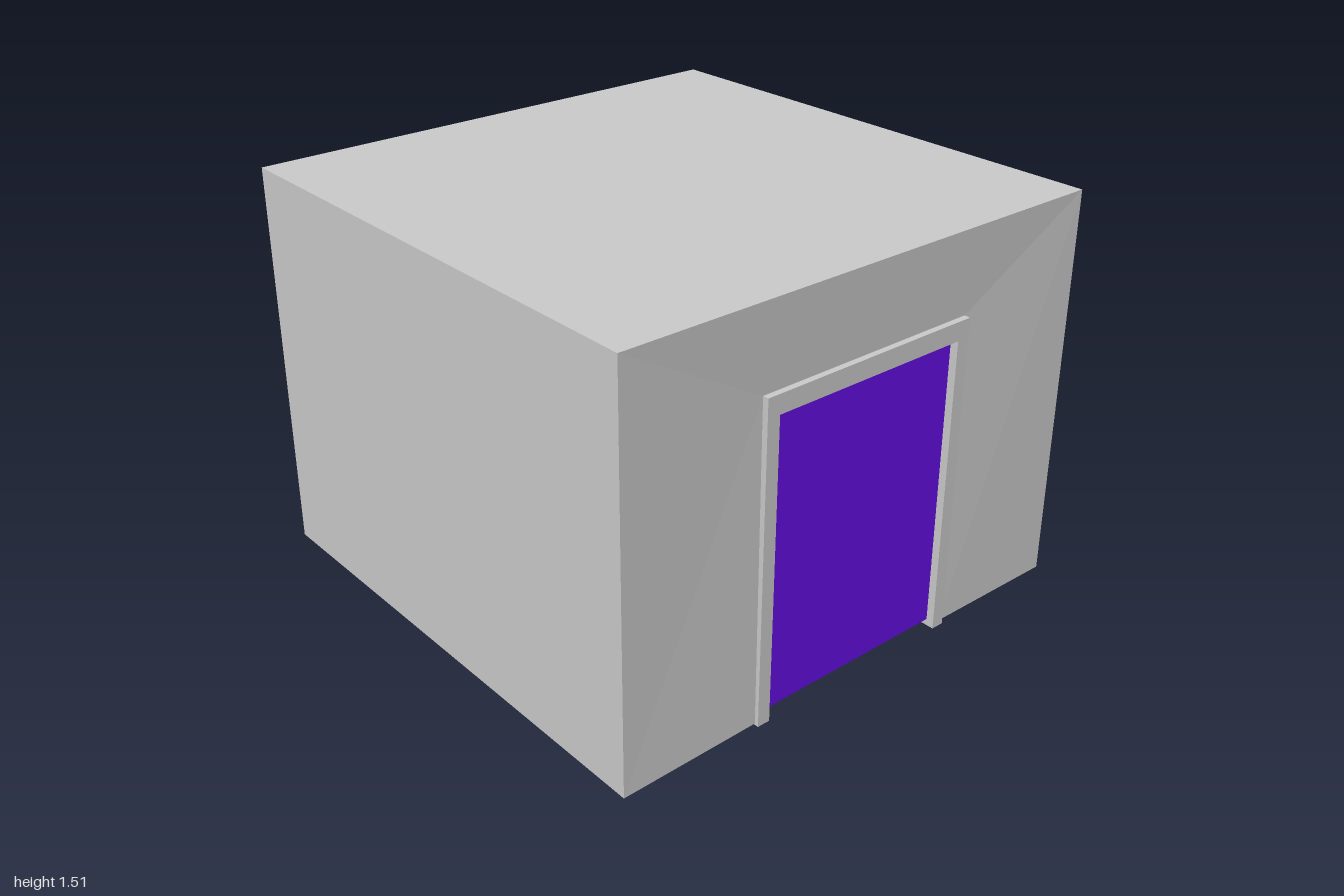
import * as THREE from 'three';

const grey = new THREE.MeshStandardMaterial({ color: 0xcccccc, flatShading: true });
const paint = (color, side = THREE.FrontSide) => {
  const m = new THREE.MeshStandardMaterial({ color, side, flatShading: true });
  return m;
};

function add(parent, name, geometry, material) {
  const mesh = new THREE.Mesh(geometry, material);
  mesh.name = name;
  parent.add(mesh);
  return mesh;
}

// Box given by its lower and upper corners
function block(parent, name, [x0, y0, z0], [x1, y1, z1], material) {
  const mesh = add(parent, name, new THREE.BoxGeometry(x1 - x0, y1 - y0, z1 - z0), material);
  mesh.position.set((x0 + x1) / 2, (y0 + y1) / 2, (z0 + z1) / 2);
  return mesh;
}

// Four-cornered panels, corners counter-clockwise from the visible side
function panels(list) {
  const pos = [];
  for (const [a, b, c, d] of list) pos.push(...a, ...b, ...c, ...a, ...c, ...d);
  const g = new THREE.BufferGeometry();
  g.setAttribute('position', new THREE.Float32BufferAttribute(pos, 3));
  g.computeVertexNormals();
  return g;
}

export function createModel() {
  const model = new THREE.Group();
  model.name = 'room';
  const bottom = 0.01, top = 1.51, front = 0.99;
  const inner = 0.97, innerBottom = 0.03, innerTop = 1.48;
  const door = 0.45, doorTop = 1.2;

  // Outer roof, side walls and back wall
  const A = [-1, bottom, front], B = [1, bottom, front], C = [1, bottom, -1], D = [-1, bottom, -1];
  const up = ([x, , z]) => [x, top, z];
  add(model, 'roof', panels([[up(A), up(B), up(C), up(D)]]), grey);
  add(model, 'outerWalls', panels([
    [B, C, up(C), up(B)], [C, D, up(D), up(C)], [D, A, up(A), up(D)],
  ]), grey);

  // Front wall around the doorway, its upper panel leaning in slightly
  const l0 = [-door, bottom, 0.985], l1 = [-door, doorTop, 0.977];
  const r0 = [door, bottom, 0.985], r1 = [door, doorTop, 0.977];
  add(model, 'frontWall', panels([
    [A, l0, l1, up(A)], [r0, B, up(B), r1], [l1, r1, up(B), up(A)],
  ]), grey);

  // Bevelled lower rim joining the outer and inner walls, open at the doorway
  const lift = ([x, , z]) => [
    Math.abs(x) === 1 ? x * inner : x, innerBottom, z > 0 ? inner : -inner,
  ];
  const rim = [[B, C], [C, D], [D, A], [A, l0], [r0, B]]
    .map(([p, q]) => [q, p, lift(p), lift(q)]);
  add(model, 'lowerRim', panels(rim), grey);

  // Coloured inner lining, open underneath
  const lining = new THREE.BoxGeometry(2 * inner, innerTop - innerBottom, 2 * inner);
  const index = Array.from(lining.index.array);
  index.splice(18, 6);
  lining.setIndex(index);
  lining.clearGroups();
  add(model, 'innerLining', lining, paint(0x650ee6, THREE.DoubleSide))
    .position.y = (innerTop + innerBottom) / 2;

  // Door frame: one extruded arch
  const arch = new THREE.Shape([
    [-door, 0.005], [-0.4, 0.005], [-0.4, 1.13], [0.4, 1.13],
    [0.4, 0.005], [door, 0.005], [door, doorTop], [-door, doorTop],
  ].map(([x, y]) => new THREE.Vector2(x, y)));
  const frame = new THREE.ExtrudeGeometry(arch, { depth: 0.055, bevelEnabled: false });
  add(model, 'doorFrame', frame, grey).position.z = 0.945;

  // Two cubes standing inside
  block(model, 'redCube', [-0.75, 0, -0.25], [-0.25, 0.5, 0.25], paint(0xe63030));
  block(model, 'greenCube', [0.12, 0, -0.25], [0.62, 0.5, 0.25], paint(0x40e612));

  return model;
}
